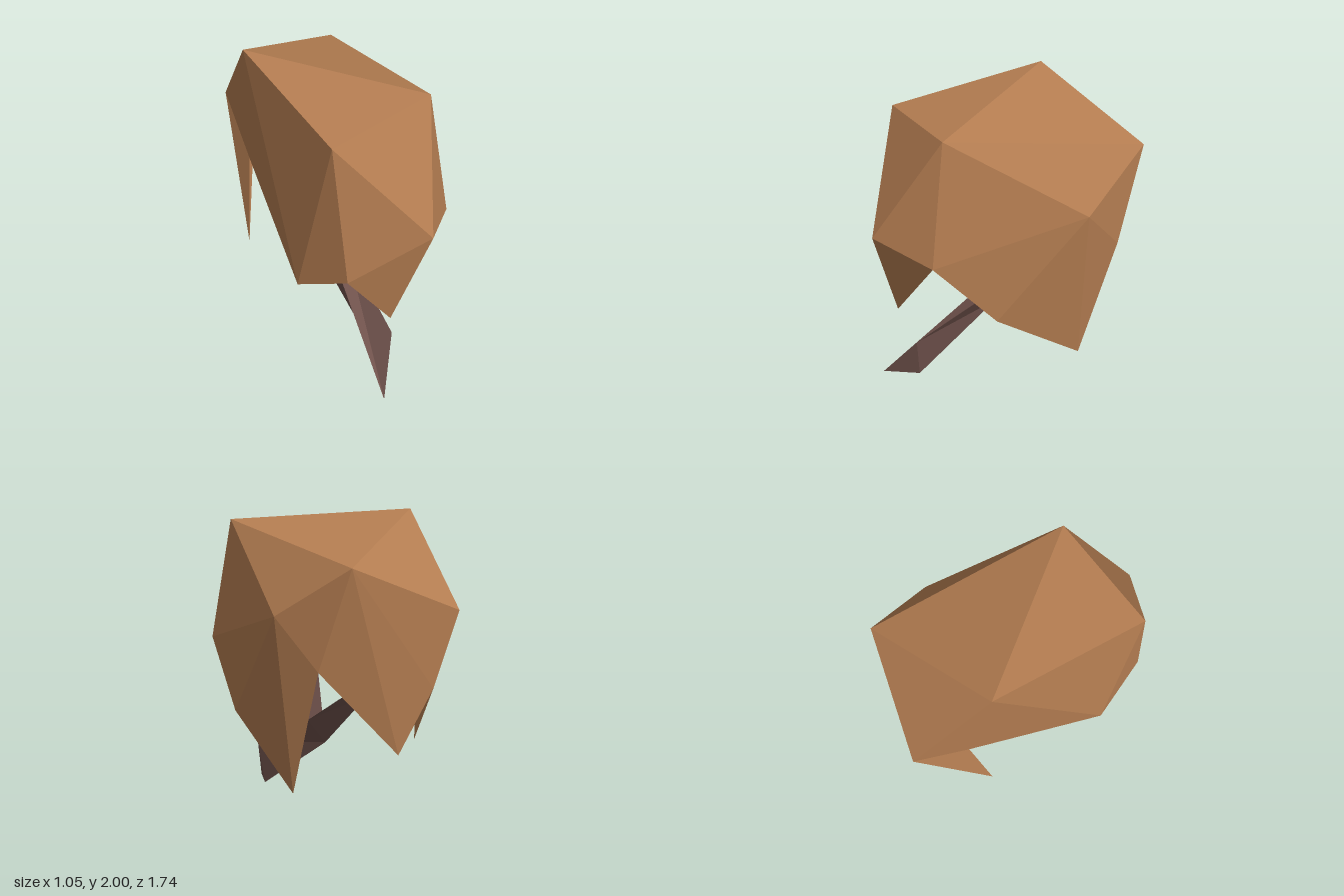
import * as THREE from 'three';

// Flat-shaded mesh from named points and three-letter faces
function facetMesh(name, points, faces, material) {
  const positions = faces.split(' ').flatMap(face => [...face].flatMap(key => points[key]));
  const geometry = new THREE.BufferGeometry();
  geometry.setAttribute('position', new THREE.Float32BufferAttribute(positions, 3));
  geometry.computeVertexNormals();
  const mesh = new THREE.Mesh(geometry, material);
  mesh.name = name;
  return mesh;
}

// Three-sided tapering limb between two triangular sections
function limb(name, start, end, material) {
  const [a, b, c] = start, [d, e, f] = end;
  return facetMesh(name, { a, b, c, d, e, f },
    'acb bce bed cad cdf'.replace('cad cdf', 'caf cfe abd adf') .replace('bed', 'bed'), material);
}

export function createModel() {
  const foliage = new THREE.MeshStandardMaterial({ color: 0xb47d51, flatShading: true, side: THREE.DoubleSide });
  foliage.name = 'autumn foliage';
  const bark = new THREE.MeshStandardMaterial({ color: 0x6e514b, flatShading: true, side: THREE.DoubleSide });
  bark.name = 'dark bark';

  const model = new THREE.Group();
  model.name = 'leaningTree';

  // Canopy: an open faceted dome with a ragged lower rim
  const canopyPoints = {
    // crown
    A: [-0.48, 2.0, -0.38], B: [0.29, 1.92, 0.46], C: [-0.41, 1.86, 0.6], D: [0.3, 1.73, -0.76],
    // shoulders
    E: [-0.43, 1.44, -0.87], F: [0.09, 1.25, 0.865], G: [0.525, 1.43, -0.34],
    // rim, running round from the front
    J: [-0.08, 0.575, 0.715], H: [0.38, 1.15, 0.57], L: [0.45, 0.74, 0.2], K: [0.41, 0.34, -0.36],
    Q: [0.4, 1.13, -0.59], O: [-0.08, 0.585, -0.75], P: [-0.28, 0.98, -0.825],
    N: [-0.515, 0.52, -0.43], R: [-0.43, 1.12, -0.53], M: [-0.53, 0.765, 0.36], I: [-0.37, 0.975, 0.7],
  };
  const canopyFaces = [
    'ABD ACB ADE',              // top
    'CFB CIF FIJ FJH BFH',      // front
    'DBG BHG GHL GLK GKQ DGQ',  // +x side
    'DQO DOP DPE EPN',          // back
    'ENR AER ARM AMC CMI',      // -x side
  ].join(' ');
  model.add(facetMesh('canopy', canopyPoints, canopyFaces, foliage));

  // Trunk leans back to a fork, where two branches enter the canopy
  const foot = [[-0.175, 0, 0.83], [-0.05, 0.025, 0.605], [-0.005, 0.33, 0.62]];
  const fork = [[-0.145, 0.63, 0.08], [-0.145, 0.455, 0.03], [-0.03, 0.62, 0.07]];
  const backTip = [[-0.13, 0.98, -0.41], [-0.14, 0.87, -0.4], [-0.08, 0.95, -0.41]];
  const upperTip = [[-0.1, 1.14, 0.12], [-0.09, 1.13, 0.07], [-0.06, 1.14, 0.1]];
  model.add(
    limb('trunk', foot, fork, bark),
    limb('backBranch', fork, backTip, bark),
    limb('upperBranch', fork, upperTip, bark),
  );
  return model;
}
